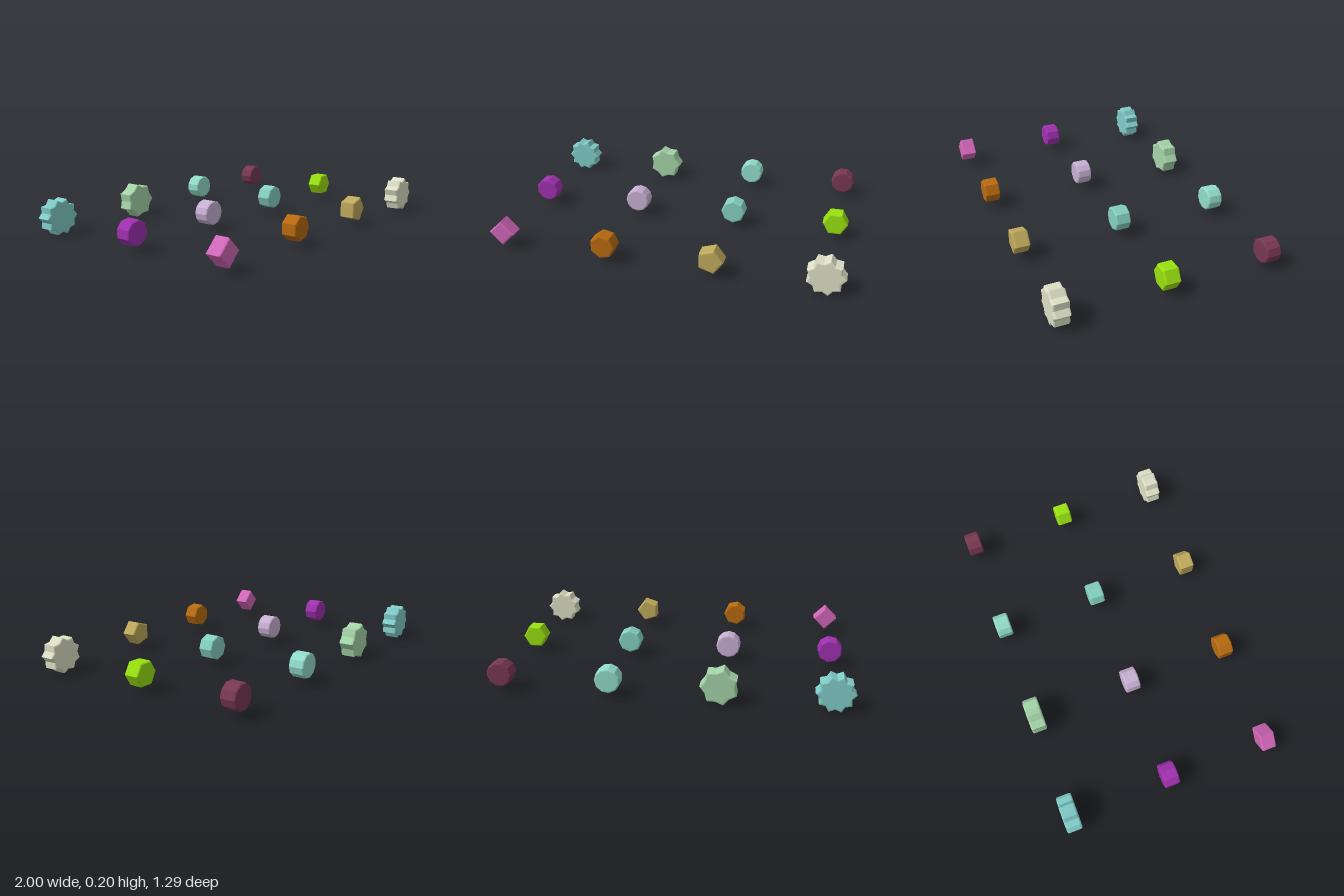
import * as THREE from 'three';

const OUTER = 0.104, INNER = 0.085;   // star tip and valley radii
const HALF_DEPTH = 0.0447, BEVEL = 0.01;
const COL = 0.8965, ROW = 0.598, AXIS_Y = 0.1025;

// Outline with its first corner pointing to +x
function outline(radii, count) {
  const pts = [];
  for (let i = 0; i < count; i++) {
    const a = (i / count) * Math.PI * 2, r = radii[i % radii.length];
    pts.push(new THREE.Vector2(Math.cos(a) * r, Math.sin(a) * r));
  }
  return new THREE.Shape(pts);
}

const polygon = (n) => outline([0.06 + BEVEL / Math.cos(Math.PI / n)], n);
const star = (n) => outline([OUTER, INNER], n * 2);

// Short prism with softly bevelled rims
function prism(name, shape, color, col, row) {
  const geo = new THREE.ExtrudeGeometry(shape, {
    depth: 2 * (HALF_DEPTH - BEVEL), bevelEnabled: true, bevelThickness: BEVEL,
    bevelSize: BEVEL, bevelOffset: -BEVEL, bevelSegments: 3, steps: 1,
  });
  geo.translate(0, 0, -(HALF_DEPTH - BEVEL));
  const mesh = new THREE.Mesh(geo, new THREE.MeshStandardMaterial({ color, flatShading: true }));
  mesh.name = name;
  mesh.position.set(COL * (-1 + (col * 2) / 3), AXIS_Y, ROW * row);
  return mesh;
}

export function createModel() {
  const group = new THREE.Group();
  group.name = 'prismCollection';
  const rows = [
    // front row
    [1, [
      ['squarePrism', polygon(4), 0xd066b8],
      ['heptagonPrism', polygon(7), 0xb86a10],
      ['pentagonPrism', polygon(5), 0xbfaa5c],
      ['ninePointStar', star(9), 0xdcdfc4],
    ]],
    // middle row
    [0, [
      ['nonagonPrism', polygon(9), 0xa030b0],
      ['dodecagonPrism', polygon(12), 0xc8b0d4],
      ['octagonPrism', polygon(8), 0x84d0c0],
      ['hexagonPrism', polygon(6), 0x98e010],
    ]],
    // back row
    [-1, [
      ['tenPointStar', star(10), 0x80ccc8],
      ['sevenPointStar', star(7), 0xa4d4a8],
      ['hendecagonPrism', polygon(11), 0x90dcc8],
      ['decagonPrism', polygon(10), 0x783850],
    ]],
  ];
  for (const [row, items] of rows)
    items.forEach(([name, shape, color], col) => group.add(prism(name, shape, color, col, row)));
  return group;
}
